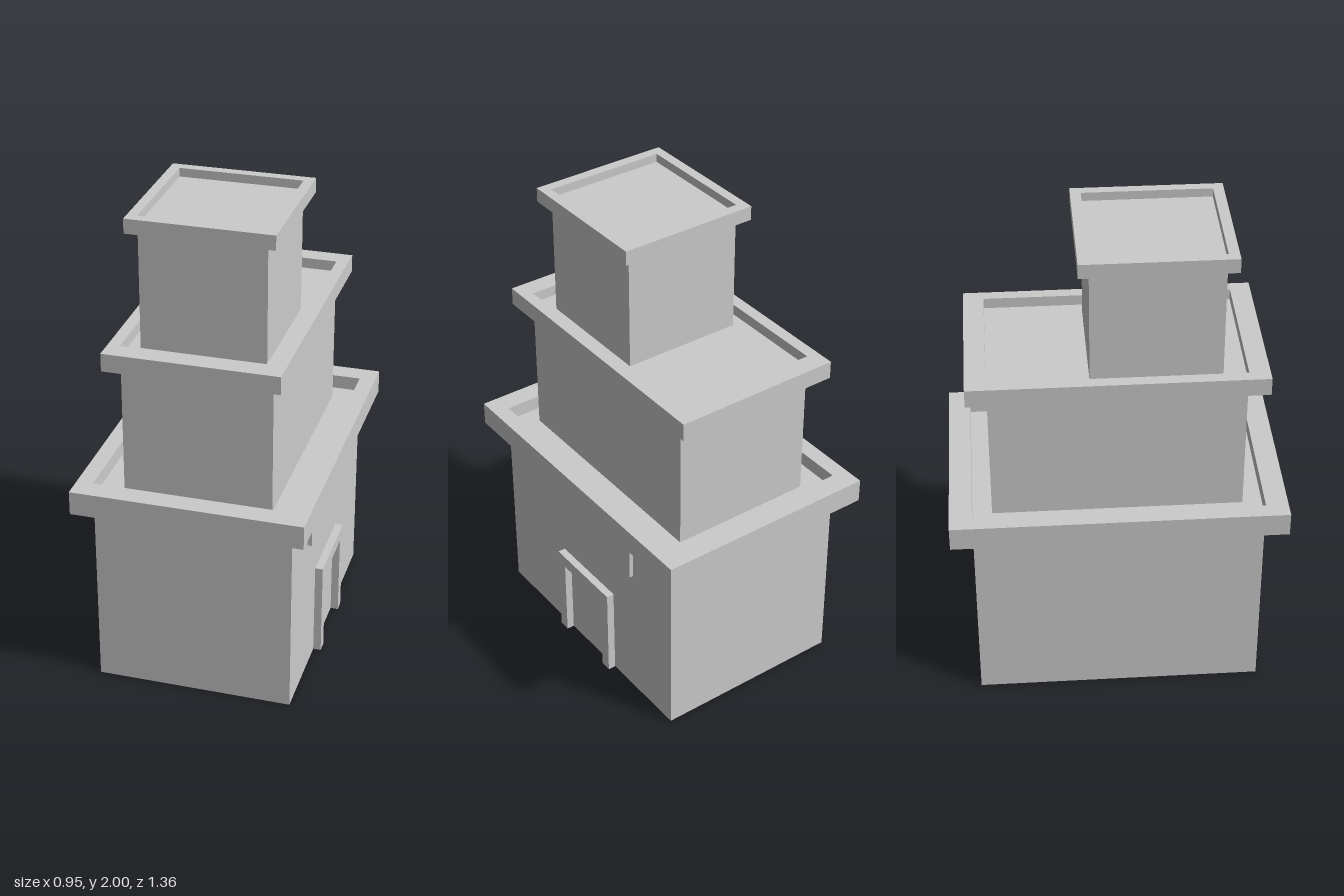
import * as THREE from 'three';

const material = new THREE.MeshStandardMaterial({ color: 0xcccccc, flatShading: true });

function addMesh(parent, name, geometry, x, y, z) {
  const mesh = new THREE.Mesh(geometry, material);
  mesh.name = name;
  mesh.position.set(x, y, z);
  parent.add(mesh);
  return mesh;
}

function rectangle(path, halfW, halfH) {
  path.moveTo(-halfW, -halfH);
  path.lineTo(halfW, -halfH);
  path.lineTo(halfW, halfH);
  path.lineTo(-halfW, halfH);
  path.closePath();
  return path;
}

// One storey: a walled block whose flat roof sits inside an overhanging parapet
function makeTier({ name, w, d, z, base, rimBottom, rimTop, overX, overZ }) {
  const tier = new THREE.Group();
  tier.name = name;
  const deck = rimBottom + 0.4 * (rimTop - rimBottom);
  addMesh(tier, 'walls', new THREE.BoxGeometry(w, deck - base, d), 0, (deck + base) / 2, z);

  const ring = rectangle(new THREE.Shape(), w / 2 + overX, d / 2 + overZ);
  ring.holes.push(rectangle(new THREE.Path(), w / 2, d / 2));
  const rim = new THREE.ExtrudeGeometry(ring, { depth: rimTop - rimBottom, bevelEnabled: false });
  rim.rotateX(-Math.PI / 2);
  addMesh(tier, 'parapet', rim, 0, rimBottom, z);
  return tier;
}

export function createModel() {
  const model = new THREE.Group();
  model.name = 'steppedTower';

  const tiers = [
    { name: 'lowerTier', w: 0.815, d: 1.18, z: 0, base: 0, rimBottom: 0.815, rimTop: 0.915, overX: 0.068, overZ: 0.092 },
    { name: 'middleTier', w: 0.61, d: 1.02, z: 0, base: 0.855, rimBottom: 1.42, rimTop: 1.495, overX: 0.05, overZ: 0.084 },
    { name: 'upperTier', w: 0.508, d: 0.524, z: 0.155, base: 1.45, rimBottom: 1.94, rimTop: 2, overX: 0.041, overZ: 0.043 },
  ];
  tiers.forEach((t) => model.add(makeTier(t)));

  // Door surround: an upside-down U standing proud of the side wall
  const u = new THREE.Shape();
  [[-0.184, 0], [-0.136, 0], [-0.136, 0.355], [0.136, 0.355], [0.136, 0], [0.184, 0], [0.184, 0.408], [-0.184, 0.408]]
    .forEach(([x, y], i) => (i ? u.lineTo(x, y) : u.moveTo(x, y)));
  u.closePath();
  const frame = new THREE.ExtrudeGeometry(u, { depth: 0.04, bevelEnabled: false });
  frame.rotateY(Math.PI / 2);
  addMesh(model, 'doorFrame', frame, 0.4, 0, 0);

  // Blank panel above the door
  addMesh(model, 'signPanel', new THREE.BoxGeometry(0.025, 0.175, 0.66), 0.4125, 0.697, 0);

  return model;
}
